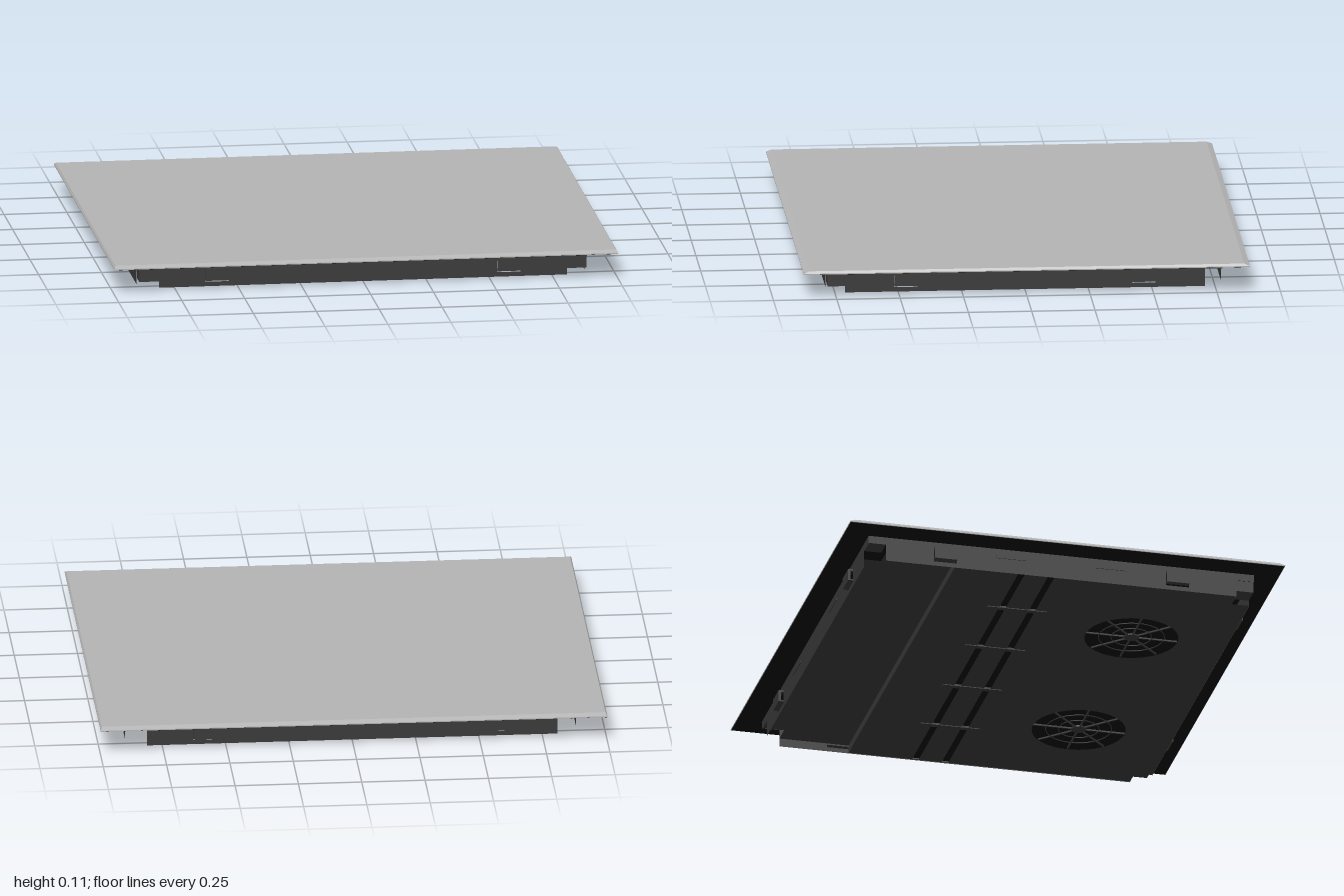
import * as THREE from 'three';

const material = (color, side = THREE.FrontSide) => new THREE.MeshStandardMaterial({ color, side });
const glass = material(0xb4b4b4);
const metal = material(0x3a3a3a);
const sheet = material(0x3a3a3a, THREE.DoubleSide);
const black = material(0x0c0c0c);

// Half sizes of the casing; its corners are notched in plan
const CASE_X = 0.89, CASE_Z = 0.78, NOTCH_X = 0.81, NOTCH_Z = 0.71;
const RIM_Y = 0.1, RIM_LOW = 0.07, STEP_Z = -0.43, FLOOR_Y = 0.003, REAR_Y = 0.034;

export function createModel() {
  const model = new THREE.Group();

  const add = (name, geometry, mat, parent = model) => {
    const mesh = new THREE.Mesh(geometry, mat);
    mesh.name = name;
    parent.add(mesh);
    return mesh;
  };
  // Box given by its limits on each axis
  const box = (name, [x0, x1], [y0, y1], [z0, z1], mat = metal, parent = model) => {
    const mesh = add(name, new THREE.BoxGeometry(x1 - x0, y1 - y0, z1 - z0), mat, parent);
    mesh.position.set((x0 + x1) / 2, (y0 + y1) / 2, (z0 + z1) / 2);
    return mesh;
  };
  const rectangle = (path, u0, u1, v0, v1) =>
    path.moveTo(u0, v0).lineTo(u1, v0).lineTo(u1, v1).lineTo(u0, v1).closePath();
  // Flat sheet drawn in x and z, facing down
  const floorSheet = (name, shape, y) => {
    const geometry = new THREE.ShapeGeometry(shape, 24);
    geometry.rotateX(Math.PI / 2);
    add(name, geometry, metal).position.y = y;
  };

  // Glass top with a shallow bevel all round
  box('glassUnderside', [-0.998, 0.998], [RIM_Y, 0.102], [-0.878, 0.878], black);
  box('glassEdge', [-1, 1], [0.101, 0.105], [-0.88, 0.88], glass);
  const bevel = new THREE.BoxGeometry(2, 0.009, 1.76);
  const p = bevel.attributes.position;
  for (let i = 0; i < p.count; i++) {
    if (p.getY(i) > 0) p.setXYZ(i, p.getX(i) * 0.994, p.getY(i), p.getZ(i) * 0.975);
  }
  bevel.computeVertexNormals();
  add('glassTop', bevel, glass).position.y = 0.1095;

  // Blocks in the two front corners, small plates in the rear ones
  for (const s of [-1, 1]) {
    const x = [s * NOTCH_X, s * (CASE_X - 0.002)].sort((a, b) => a - b);
    box('cornerBlock', x, [0.025, RIM_LOW], [NOTCH_Z, CASE_Z - 0.002]);
    box('cornerPlate', x, [RIM_LOW, RIM_LOW + 0.004], [-CASE_Z + 0.002, -NOTCH_Z]);
  }

  // One sheet wall with clip windows, spring clips and raised vents, facing local +z;
  // the wall is wider along the rim than below it
  const wall = (angle, distance, rimHalf, wallHalf, clipU, ventU) => {
    const side = new THREE.Group();
    side.name = 'casingSide';
    side.rotation.y = angle;
    model.add(side);
    const panel = new THREE.Shape([
      [-wallHalf, 0], [wallHalf, 0], [wallHalf, RIM_LOW], [rimHalf, RIM_LOW],
      [rimHalf, RIM_Y], [-rimHalf, RIM_Y], [-rimHalf, RIM_LOW], [-wallHalf, RIM_LOW],
    ].map(([u, y]) => new THREE.Vector2(u, y)));
    for (const s of [-1, 1]) {
      const u = s * clipU;
      const span = [u - 0.046, u + 0.046];
      panel.holes.push(rectangle(new THREE.Path(), ...span, 0.018, 0.066));
      box('clipTop', span, [0.067, 0.075], [distance, distance + 0.016], metal, side);
      box('clipLeg', span, [0.026, 0.073], [distance + 0.01, distance + 0.019], metal, side);
      box('clipFoot', span, [0.026, 0.031], [distance - 0.005, distance + 0.012], metal, side);
      box('wallVent', [s * ventU - 0.062, s * ventU + 0.062], [0.06, 0.07],
        [distance - 0.002, distance + 0.003], metal, side);
    }
    add('wallPanel', new THREE.ShapeGeometry(panel), sheet, side).position.z = distance;
  };
  for (const turn of [0, Math.PI]) {
    wall(turn, CASE_Z, CASE_X, NOTCH_X, 0.58, 0.3);
    wall(turn + Math.PI / 2, CASE_X, CASE_Z, NOTCH_Z, 0.47, 0.2);
  }

  // Floor outlines: lower front part and raised rear part
  const outline = (zStep, zNotch, zEnd) => new THREE.Shape([
    [-CASE_X, zStep], [CASE_X, zStep], [CASE_X, zNotch], [NOTCH_X, zNotch],
    [NOTCH_X, zEnd], [-NOTCH_X, zEnd], [-NOTCH_X, zNotch], [-CASE_X, zNotch],
  ].map(([x, z]) => new THREE.Vector2(x, z)));
  const floor = outline(STEP_Z, NOTCH_Z, CASE_Z);

  // Two long recessed slots
  for (const z of [-0.16, -0.04]) {
    floor.holes.push(rectangle(new THREE.Path(), -0.885, 0.885, z - 0.013, z + 0.013));
    box('slotRecess', [-0.887, 0.887], [0.009, 0.012], [z - 0.018, z + 0.018], black);
  }
  // Bars bridging the slots
  for (const x of [-0.56, -0.19, 0.19, 0.56]) {
    box('slotBar', [x - 0.011, x + 0.011], [0, 0.008], [-0.22, 0.02]);
  }

  // Fan grilles: dark well, hub, rings and spokes
  const fanZ = 0.4, fanR = 0.185;
  for (const fanX of [-0.41, 0.47]) {
    floor.holes.push(new THREE.Path().absarc(fanX, fanZ, fanR, 0, Math.PI * 2, true));
    const fan = new THREE.Group();
    fan.name = 'fanGrille';
    fan.position.set(fanX, 0, fanZ);
    model.add(fan);
    add('fanWell', new THREE.CylinderGeometry(fanR, fanR, 0.004, 48), black, fan).position.y = 0.012;
    add('fanHub', new THREE.CylinderGeometry(0.03, 0.03, 0.006, 24), metal, fan).position.y = 0.007;
    for (const r of [0.08, 0.13]) {
      const ring = add('fanRing', new THREE.TorusGeometry(r, 0.002, 6, 40), metal, fan);
      ring.rotation.x = Math.PI / 2;
      ring.position.y = 0.007;
    }
    for (let i = 0; i < 4; i++) {
      const spoke = add('fanSpoke', new THREE.BoxGeometry(fanR * 2, 0.006, 0.006), metal, fan);
      spoke.position.y = 0.007;
      spoke.rotation.y = i * Math.PI / 4;
    }
  }
  floorSheet('floorPanel', floor, FLOOR_Y);
  floorSheet('rearFloorPanel', outline(STEP_Z, -NOTCH_Z, -CASE_Z), REAR_Y);

  // Step between the two floor levels, facing the rear
  const step = add('floorStep', new THREE.PlaneGeometry(CASE_X * 2, REAR_Y - FLOOR_Y), metal);
  step.rotation.y = Math.PI;
  step.position.set(0, (REAR_Y + FLOOR_Y) / 2, STEP_Z);

  return model;
}
